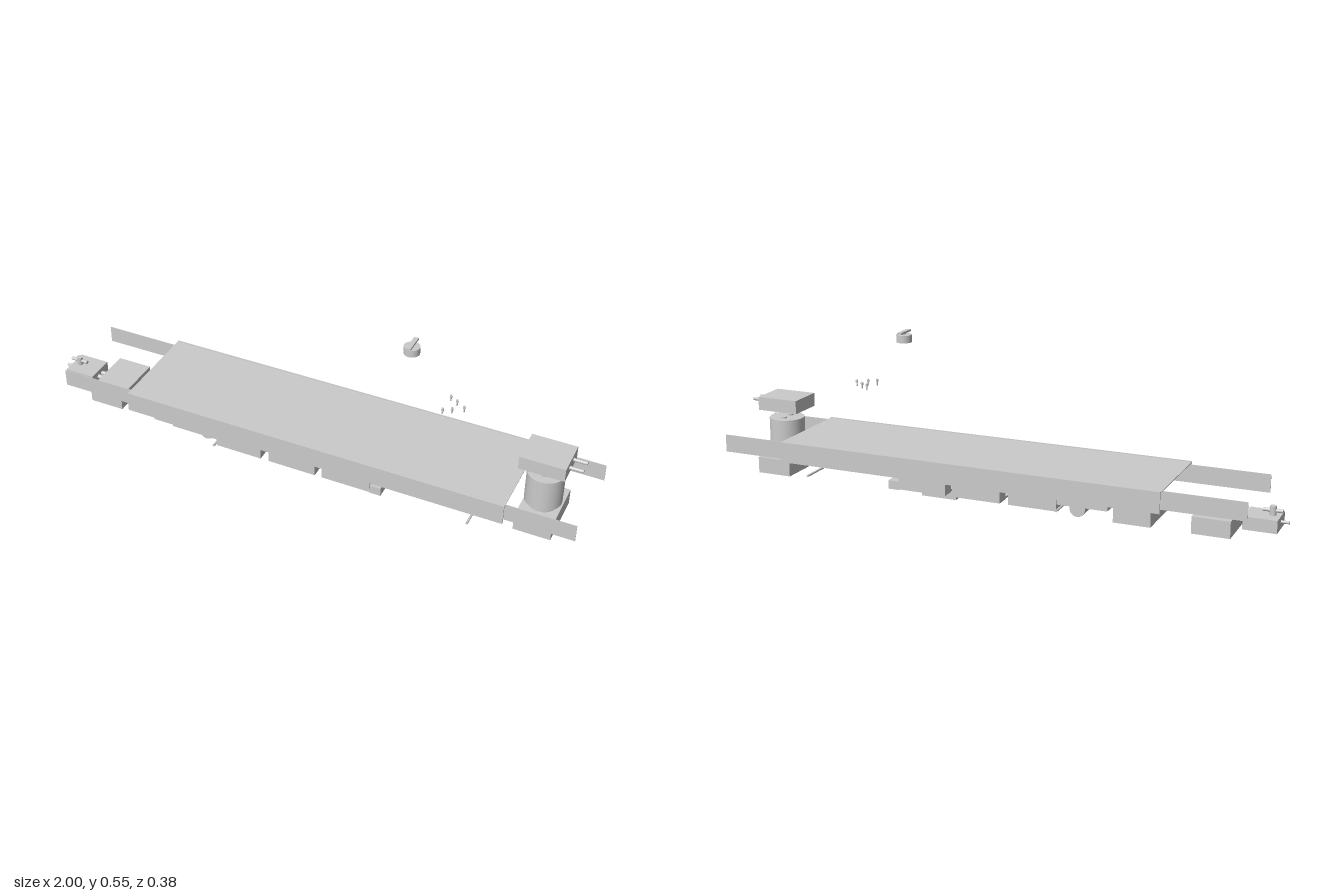
import * as THREE from 'three';

const material = new THREE.MeshStandardMaterial({ color: 0xcccccc, side: THREE.DoubleSide });

export function createModel() {
  const model = new THREE.Group();

  const add = (name, geometry, x, y, z, parent = model) => {
    const mesh = new THREE.Mesh(geometry, material);
    mesh.name = name;
    mesh.position.set(x, y, z);
    parent.add(mesh);
    return mesh;
  };
  // box given by its limits on each axis
  const box = (name, [x0, x1], [y0, y1], [z0, z1], parent) =>
    add(name, new THREE.BoxGeometry(x1 - x0, y1 - y0, z1 - z0),
      (x0 + x1) / 2, (y0 + y1) / 2, (z0 + z1) / 2, parent);
  // cylinder centred on a point, along the given axis
  const rod = (name, axis, r, length, x, y, z, parent) => {
    const g = new THREE.CylinderGeometry(r, r, length, 32);
    if (axis === 'x') g.rotateZ(Math.PI / 2);
    if (axis === 'z') g.rotateX(Math.PI / 2);
    return add(name, g, x, y, z, parent);
  };

  // deck with its two side skirts
  box('deckPlate', [-0.625, 0.765], [0.147, 0.15], [-0.178, 0.176]);
  for (const s of [-1, 1]) {
    box('sideSkirt', [-0.625, 0.765], [0.079, 0.152], [s * 0.178 - 0.002, s * 0.178 + 0.002]);
    // thin rails sliding out at both ends
    box('rearRail', [-0.9, -0.45], [0.085, 0.148], [s * 0.153 - 0.001, s * 0.153 + 0.001]);
    box('frontRail', [0.34, 1], [0.085, 0.148], [s * 0.163 - 0.001, s * 0.163 + 0.001]);
  }

  // four wide blocks on the ground
  for (const x of [-0.771, -0.508, 0.185, 0.843])
    box('groundBlock', [x - 0.064, x + 0.064], [0, 0.058], [-0.101, 0.101]);
  box('smallCentreBlock', [0.25, 0.34], [0.035, 0.065], [-0.05, 0.05]);

  // side modules: outer case, stub shaft, collar and curved hose, on both sides
  const modules = [[-0.275, -0.105], [-0.075, 0.1], [0.125, 0.3]];
  for (const s of [-1, 1]) {
    const span = (a, b) => (s > 0 ? [a, b] : [-b, -a]);
    box('endCase', [-0.45, -0.275], [0.062, 0.138], span(0.129, 0.175));
    box('endBracket', [0.3, 0.34], [0.035, 0.065], span(0.129, 0.175));
    for (const [x0, x1] of modules) {
      const group = new THREE.Group();
      group.name = 'sideModule';
      model.add(group);
      box('case', [x0, x1], [0.038, 0.138], span(0.129, 0.176), group);
      box('basePlate', [x0, x1], [0.04, 0.047], span(0.05, 0.17), group);
      for (const t of [0.27, 0.73]) {
        const x = x0 + t * (x1 - x0);
        rod('stubShaft', 'z', 0.011, 0.042, x, 0.111, s * 0.111, group);
        rod('collar', 'z', 0.011, 0.014, x, 0.111, s * 0.072, group);
        box('innerBlock', [x - 0.027, x + 0.027], [0.047, 0.095], span(0.092, 0.129), group);
        const path = new THREE.CubicBezierCurve3(
          new THREE.Vector3(x, 0.098, s * 0.074), new THREE.Vector3(x, 0.097, s * 0.088),
          new THREE.Vector3(x, 0.08, s * 0.094), new THREE.Vector3(x, 0.047, s * 0.094));
        add('hose', new THREE.TubeGeometry(path, 12, 0.004, 8), 0, 0, 0, group);
      }
    }
  }

  // ribbed cross drum
  const profile = [new THREE.Vector2(0, -0.142)];
  for (let i = 0; i < 6; i++) {
    const a = -0.142 + i * 0.284 / 6;
    profile.push(new THREE.Vector2(0.027, a), new THREE.Vector2(0.027, a + 0.038),
      new THREE.Vector2(0.022, a + 0.039), new THREE.Vector2(0.022, a + 0.0472));
  }
  profile.push(new THREE.Vector2(0, 0.142));
  const drum = new THREE.LatheGeometry(profile, 32).toNonIndexed();
  drum.computeVertexNormals();
  drum.rotateX(Math.PI / 2);
  add('ribbedDrum', drum, -0.335, 0.044, 0);

  // thin cross axles
  for (const x of [-0.28, 0.65]) rod('crossAxle', 'z', 0.004, 0.38, x, 0.045, 0);

  // upright motor with terminals
  rod('motorNeck', 'y', 0.049, 0.02, 0.843, 0.067, 0);
  rod('motorBody', 'y', 0.063, 0.116, 0.843, 0.134, 0);
  for (const z of [-0.022, 0.022]) {
    rod('motorTerminal', 'y', 0.011, 0.006, 0.843, 0.194, z);
    rod('plugPin', 'x', 0.006, 0.05, 0.942, 0.251, z);
  }
  box('plugBlock', [0.765, 0.92], [0.224, 0.272], [-0.065, 0.065]);

  // small valve unit at the far end
  box('valveBody', [-0.972, -0.86], [0.02, 0.064], [-0.052, 0.052]);
  rod('valveSpindle', 'x', 0.005, 0.03, -0.985, 0.045, 0);
  rod('valveStem', 'y', 0.011, 0.034, -0.945, 0.078, 0);
  rod('valveHandle', 'x', 0.006, 0.066, -0.945, 0.08, 0);
  for (const z of [-0.012, 0.012]) rod('valveConnector', 'x', 0.008, 0.03, -0.848, 0.041, z);

  // raised knob with a bar grip
  rod('knobBody', 'y', 0.027, 0.026, 0.36, 0.524, 0);
  rod('knobNeck', 'y', 0.005, 0.008, 0.36, 0.54, 0);
  box('knobGrip', [0.352, 0.368], [0.542, 0.549], [-0.036, 0.036]);

  // five loose screws in an arc
  for (const [x, z] of [[0.49, -0.038], [0.517, -0.023], [0.55, 0], [0.517, 0.023], [0.49, 0.038]]) {
    rod('screwShank', 'y', 0.0025, 0.014, x, 0.342, z);
    rod('screwHead', 'y', 0.0045, 0.008, x, 0.352, z);
    rod('screwTip', 'y', 0.002, 0.004, x, 0.357, z);
  }
  return model;
}
